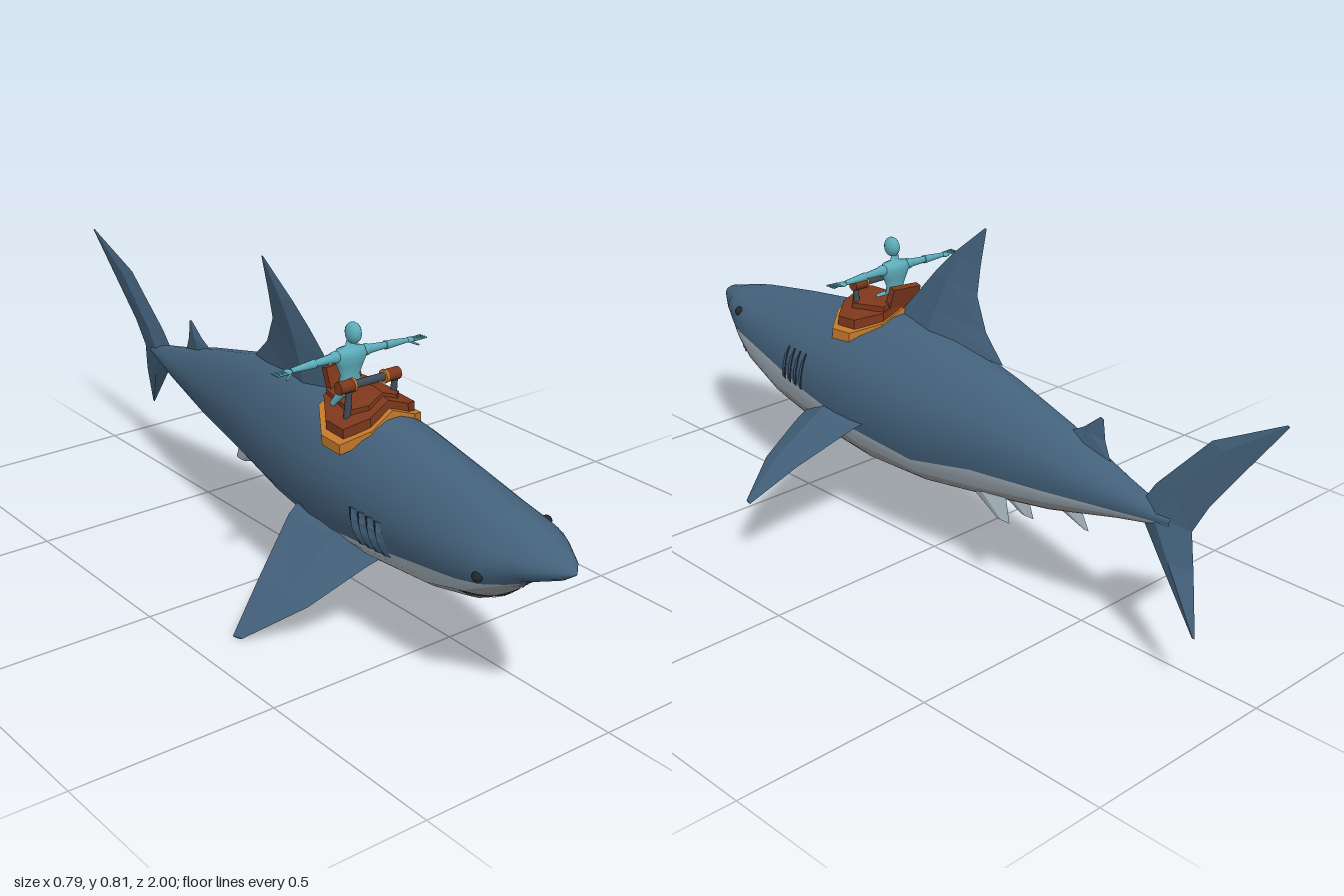
import * as THREE from 'three';

const mat = (name, color, side = THREE.FrontSide) => {
  const m = new THREE.MeshStandardMaterial({ color, side });
  m.name = name;
  return m;
};
const M = {
  blue: mat('slate blue skin', 0x44627c),
  pale: mat('pale flank', 0xa7b5be),
  belly: mat('grey belly', 0x98989a),
  dark: mat('dark', 0x20272e, THREE.DoubleSide),
  tooth: mat('tooth white', 0xd8dcdc, THREE.DoubleSide),
  brown: mat('saddle brown', 0x7e381c),
  orange: mat('orange trim', 0xc67a2c),
  steel: mat('steel', 0x414c57),
  teal: mat('teal suit', 0x5cacba),
};
const V = (x, y, z) => new THREE.Vector3(x, y, z);
const ROLL = 0.21, C = Math.cos(ROLL), S = Math.sin(ROLL), DEG = Math.PI / 180;

// Body stations: z, centre x, top y, bottom y, half width, end of blue, end of pale (degrees from the back)
const ST = [
  [1.0, -0.126, 0.4155, 0.4145, 0.0005, 180, 180],
  [0.97, -0.122, 0.432, 0.393, 0.03, 180, 180],
  [0.9, -0.112, 0.452, 0.362, 0.067, 180, 180],
  [0.88, -0.11, 0.458, 0.35, 0.076, 140, 142],
  [0.85, -0.108, 0.466, 0.328, 0.088, 122, 125],
  [0.8, -0.105, 0.477, 0.285, 0.105, 106, 114],
  [0.74, -0.1, 0.487, 0.25, 0.118, 99, 118],
  [0.6, -0.086, 0.512, 0.21, 0.135, 100, 130],
  [0.4, -0.07, 0.542, 0.184, 0.153, 110, 129],
  [0.2, -0.058, 0.558, 0.173, 0.157, 121, 138],
  [0, -0.045, 0.55, 0.185, 0.136, 130, 146],
  [-0.2, -0.031, 0.515, 0.22, 0.108, 120, 145],
  [-0.4, -0.022, 0.465, 0.256, 0.077, 118, 140],
  [-0.6, -0.01, 0.405, 0.31, 0.045, 120, 140],
  [-0.75, 0, 0.368, 0.345, 0.016, 120, 140],
];
function station(z) {
  let i = 0;
  while (i < ST.length - 2 && ST[i + 1][0] > z) i++;
  const a = ST[i], b = ST[i + 1], t = (z - a[0]) / (b[0] - a[0]);
  return a.map((v, k) => v + (b[k] - v) * t);
}
// Point on the rolled skin, at an angle from the back towards the model's left; shoulders are slightly flattened
function skin(z, deg, lift = 1) {
  const [, cx, top, bot, hw] = station(z), a = deg * DEG;
  const k = lift * (Math.cos(a) > 0 ? 1 - 0.06 * Math.sin(2 * a) ** 2 : 1);
  const u = hw * k * Math.sin(a), v = (top - bot) / 2 * k * Math.cos(a);
  return V(cx + u * C - v * S, (top + bot) / 2 + v * C + u * S, z);
}
function geo(points, index) {
  const g = new THREE.BufferGeometry().setFromPoints(points);
  if (index) g.setIndex(index);
  g.computeVertexNormals();
  return g;
}
function add(parent, name, g, m, p) {
  const mesh = new THREE.Mesh(g, m);
  mesh.name = name;
  if (p) mesh.position.set(...p);
  parent.add(mesh);
  return mesh;
}
// Closed flat-faced solid through rings of points
function loft(rings) {
  const n = rings[0].length, t = [];
  for (let i = 0; i < rings.length - 1; i++) for (let j = 0; j < n; j++) {
    const a = rings[i][j], b = rings[i][(j + 1) % n], c = rings[i + 1][j], d = rings[i + 1][(j + 1) % n];
    t.push([a, b, c], [b, d, c]);
  }
  const f = rings[0], l = rings[rings.length - 1];
  // Caps are cut as quads so that bent sections stay clean
  for (let j = 0; j < n / 2 - 1; j++) {
    const k = n - 1 - j;
    t.push([f[j], f[k], f[j + 1]], [f[j + 1], f[k], f[k - 1]]);
    t.push([l[j], l[j + 1], l[k]], [l[j + 1], l[k - 1], l[k]]);
  }
  const vol = t.reduce((s, [a, b, c]) => s + a.clone().sub(f[0]).dot(b.clone().sub(f[0]).cross(c.clone().sub(f[0]))), 0);
  return geo(t.flatMap(([a, b, c]) => (vol > 0 ? [a, b, c] : [a, c, b])));
}
// Fin from sections [leading point, trailing point, half thickness]; n is the thickness direction
const fin = (secs, n) => loft(secs.map(([l, r, t]) => {
  const L = V(...l), T = V(...r), mid = L.clone().lerp(T, 0.38);
  return [L, mid.clone().addScaledVector(n, t), T, mid.clone().addScaledVector(n, -t)];
}));
// Mirror fin sections across the rolled middle plane
const mirror = (secs, cx, cy, dz) => secs.map(([l, r, t], i) => [...[l, r].map(([x, y, z]) => {
  const d = 2 * ((x - cx) * C + (y - cy) * S);
  return [x - d * C, y - d * S, z + dz * i];
}), t]);
// Ribbon lying on the skin
function ribbon(n, edge) {
  const p = [], idx = [];
  for (let i = 0; i <= n; i++) {
    p.push(...edge(i / n));
    if (i < n) idx.push(2 * i, 2 * i + 1, 2 * i + 2, 2 * i + 1, 2 * i + 3, 2 * i + 2);
  }
  return geo(p, idx);
}
function limb(parent, name, a, b, r0, r1, m, sides = 8) {
  const A = V(...a), B = V(...b), d = B.clone().sub(A);
  const mesh = add(parent, name, new THREE.CylinderGeometry(r1, r0, d.length(), sides), m);
  mesh.position.copy(A).lerp(B, 0.5);
  mesh.quaternion.setFromUnitVectors(V(0, 1, 0), d.normalize());
}

function addBody(g) {
  const pts = [], lists = [[], [], []], N = 28;
  for (const s of ST) {
    const half = [];
    for (let i = 0; i < 8; i++) half.push(s[5] * i / 8);
    for (let i = 0; i < 2; i++) half.push(s[5] + (s[6] - s[5]) * i / 2);
    for (let i = 0; i <= 4; i++) half.push(s[6] + (180 - s[6]) * i / 4);
    for (let j = 0; j < N; j++) pts.push(skin(s[0], j <= 14 ? half[j] : -half[N - j]));
  }
  for (let i = 0; i < ST.length - 1; i++) for (let j = 0; j < N; j++) {
    const a = i * N + j, b = i * N + (j + 1) % N, k = Math.min(j, N - 1 - j);
    lists[k < 8 ? 0 : k < 10 ? 1 : 2].push(a, b, a + N, b, b + N, a + N);
  }
  const body = geo(pts, lists.flat());
  let start = 0;
  lists.forEach((l, i) => { body.addGroup(start, l.length, i); start += l.length; });
  add(g, 'body', body, [M.blue, M.pale, M.belly]);

  // Mouth with two rows of teeth
  const mz = (p) => 0.74 + 0.085 * (1 - p * p), ang = (p) => 180 + 62 * p;
  const w = (p) => 0.007 + 0.01 * (1 - p * p);
  add(g, 'mouth', ribbon(24, (t) => {
    const p = 2 * t - 1;
    return [skin(mz(p) + w(p), ang(p), 1.015), skin(mz(p) - w(p), ang(p), 1.015)];
  }), M.dark);
  const teeth = [], n = 30;
  for (const s of [1, -1]) for (let i = 1; i < n - 1; i++) {
    const at = (k, e) => { const p = 2 * k / n - 1; return skin(mz(p) + s * e * w(p), ang(p), 1.03); };
    teeth.push(at(i, 0.95), at(i + 0.85, 0.95), at(i + 0.42, 0.1));
  }
  add(g, 'teeth', geo(teeth), M.tooth);

  // Eyes, and gill flaps with slits behind them, on both sides
  for (const s of [1, -1]) {
    const eye = add(g, 'eye', new THREE.SphereGeometry(0.013, 10, 8), M.dark);
    eye.position.copy(skin(0.8, s > 0 ? 76 : -94, 0.97));
    for (let k = 0; k < 4; k++) {
      const z = 0.5 - 0.028 * k, rows = [0, 1, 2, 3, 4].map((i) => i / 4);
      const at = (t, dz, lift) => skin(z + 0.008 * t + dz, s * (78 + 32 * t), lift);
      add(g, 'gillFlap', loft(rows.map((t) => [at(t, 0.014, 0.995),
        at(t, -0.003, 1.01 + 0.04 * Math.sin(Math.PI * t)), at(t, -0.005, 0.995), at(t, 0, 0.97)])), M.blue);
      add(g, 'gillSlit', ribbon(4, (t) => [at(t, -0.004, 1.012), at(t, -0.011, 1.012)]), M.dark);
    }
  }
}

function addFins(g) {
  const side = V(C, S, 0), up = V(-S, C, 0);
  add(g, 'dorsalFin', fin([
    [[-0.095, 0.53, 0.25], [-0.073, 0.525, -0.16], 0.028],
    [[-0.107, 0.6, 0.19], [-0.09, 0.585, -0.085], 0.021],
    [[-0.12, 0.68, 0.125], [-0.108, 0.66, -0.036], 0.015],
    [[-0.13, 0.735, 0.075], [-0.124, 0.73, -0.03], 0.01],
    [[-0.141, 0.82, -0.025], [-0.141, 0.82, -0.032], 0.001]], side), M.blue);
  const pec = [
    [[0.05, 0.27, 0.43], [0.05, 0.335, 0.15], 0.05],
    [[0.11, 0.255, 0.41], [0.12, 0.315, 0.165], 0.033],
    [[0.25, 0.215, 0.355], [0.27, 0.245, 0.205], 0.015],
    [[0.387, 0.174, 0.26], [0.395, 0.176, 0.235], 0.002]];
  add(g, 'leftPectoralFin', fin(pec, up), M.blue);
  add(g, 'rightPectoralFin', fin(mirror(pec, -0.06, 0.368, -0.013), up), M.blue);
  add(g, 'rearDorsalFin', fin([
    [[-0.035, 0.45, -0.41], [-0.025, 0.41, -0.55], 0.012],
    [[-0.036, 0.475, -0.455], [-0.034, 0.46, -0.52], 0.008],
    [[-0.037, 0.512, -0.5], [-0.037, 0.51, -0.51], 0.001]], side), M.blue);
  const pelvic = [
    [[0.03, 0.265, -0.12], [0.028, 0.28, -0.27], 0.012],
    [[0.05, 0.205, -0.27], [0.05, 0.205, -0.31], 0.002]];
  add(g, 'leftPelvicFin', fin(pelvic, side), M.pale);
  add(g, 'rightPelvicFin', fin(mirror(pelvic, -0.027, 0.365, 0), side), M.pale);
  add(g, 'analFin', fin([
    [[-0.008, 0.285, -0.35], [-0.002, 0.3, -0.48], 0.01],
    [[0.01, 0.25, -0.505], [0.01, 0.25, -0.52], 0.001]], side), M.pale);
  const root = [[0, 0.358, -0.65], [0, 0.352, -0.8], 0.018];
  add(g, 'upperTailLobe', fin([root,
    [[-0.008, 0.425, -0.69], [-0.007, 0.42, -0.835], 0.015],
    [[-0.022, 0.565, -0.82], [-0.022, 0.53, -0.912], 0.009],
    [[-0.037, 0.65, -0.99], [-0.037, 0.647, -0.996], 0.001]], side), M.blue);
  add(g, 'lowerTailLobe', fin([root,
    [[0.022, 0.275, -0.73], [0.018, 0.27, -0.825], 0.012],
    [[0.062, 0.145, -0.865], [0.062, 0.145, -0.873], 0.001]], side), M.blue);
}

// Bent slab straddling the back: rows of [z, half width, top, bottom, drop]
const slab = (rows) => loft(rows.map(([z, w, t, b, d]) => [
  V(-w, t - d, z), V(0, t, z), V(w, t - d, z), V(w, b - d, z), V(0, b, z), V(-w, b - d, z)]));

function addSaddle(g) {
  const s = new THREE.Group();
  s.name = 'saddle';
  s.position.set(-0.092, 0.553, 0.3);
  s.rotation.z = 0.09;
  g.add(s);
  add(s, 'saddleTrim', slab([[0.092, 0.062, 0.005, -0.018, 0.03], [0.045, 0.118, 0.011, -0.014, 0.066],
    [-0.02, 0.118, 0.013, -0.012, 0.064], [-0.088, 0.07, 0.016, -0.01, 0.032]]), M.orange);
  add(s, 'saddleBody', slab([[0.08, 0.054, 0.026, 0, 0.026], [0.042, 0.103, 0.034, 0, 0.057],
    [-0.02, 0.103, 0.036, 0, 0.055], [-0.08, 0.06, 0.036, 0, 0.028]]), M.brown);
  add(s, 'saddleTop', slab([[0.06, 0.04, 0.038, 0, 0.018], [0.03, 0.07, 0.044, 0, 0.035],
    [-0.075, 0.055, 0.048, 0, 0.026]]), M.brown);
  const back = add(s, 'seatBack', new THREE.BoxGeometry(0.09, 0.05, 0.018), M.brown, [-0.005, 0.046, -0.078]);
  back.rotation.x = -0.25;
  // Handlebar on two posts
  for (const x of [-0.165, -0.035]) limb(g, 'handlebarPost', [x, 0.52, 0.32], [x, 0.615, 0.33], 0.009, 0.007, M.steel);
  limb(g, 'handlebar', [-0.16, 0.614, 0.33], [-0.06, 0.614, 0.33], 0.01, 0.01, M.steel);
  for (const e of [1, -1]) {
    const at = (d) => [-0.112 + e * d, 0.614, 0.33];
    limb(g, 'handleGrip', at(0.046), at(0.085), 0.015, 0.015, M.brown, 10);
    limb(g, 'gripRing', at(0.042), at(0.048), 0.0165, 0.0165, M.orange, 10);
  }
}

function addRider(g) {
  const r = new THREE.Group();
  r.name = 'rider';
  r.position.set(-0.112, 0, 0.265);
  g.add(r);
  const prof = [[0, 0.572], [0.026, 0.578], [0.031, 0.592], [0.026, 0.612], [0.036, 0.635],
    [0.046, 0.657], [0.038, 0.672], [0.014, 0.678], [0.011, 0.692]];
  const torso = add(r, 'torso', new THREE.LatheGeometry(prof.map(([x, y]) => new THREE.Vector2(x, y)), 14), M.teal);
  torso.scale.z = 0.55;
  const head = add(r, 'head', new THREE.SphereGeometry(0.018, 12, 10), M.teal, [0, 0.711, 0.01]);
  head.scale.set(0.95, 1.4, 1.3);
  for (const s of [1, -1]) {
    const ball = add(r, 'shoulder', new THREE.SphereGeometry(0.014, 10, 8), M.teal, [s * 0.043, 0.659, 0]);
    ball.scale.x = 1.2;
    limb(r, 'upperArm', [s * 0.045, 0.659, 0], [s * 0.105, 0.657, 0], 0.012, 0.008, M.teal);
    limb(r, 'forearm', [s * 0.1, 0.657, 0], [s * 0.165, 0.655, 0], 0.011, 0.006, M.teal);
    const hand = add(r, 'hand', new THREE.SphereGeometry(0.012, 8, 6), M.teal, [s * 0.174, 0.654, 0]);
    hand.scale.y = 0.5;
    for (let k = -1; k <= 2; k++) {
      limb(r, 'finger', [s * 0.178, 0.655, k * 0.005], [s * 0.212, 0.656, k * 0.007], 0.003, 0.002, M.teal, 5);
    }
    limb(r, 'thumb', [s * 0.17, 0.652, 0.008], [s * 0.188, 0.643, 0.016], 0.003, 0.002, M.teal, 5);
    limb(r, 'thigh', [s * 0.014, 0.588, 0], [s * 0.04, 0.58, 0.022], 0.016, 0.012, M.teal);
    limb(r, 'shin', [s * 0.04, 0.582, 0.022], [s * 0.05, 0.55, 0], 0.011, 0.007, M.teal);
  }
}

export function createModel() {
  const g = new THREE.Group();
  g.name = 'sharkWithRider';
  addBody(g);
  addFins(g);
  addSaddle(g);
  addRider(g);
  return g;
}
